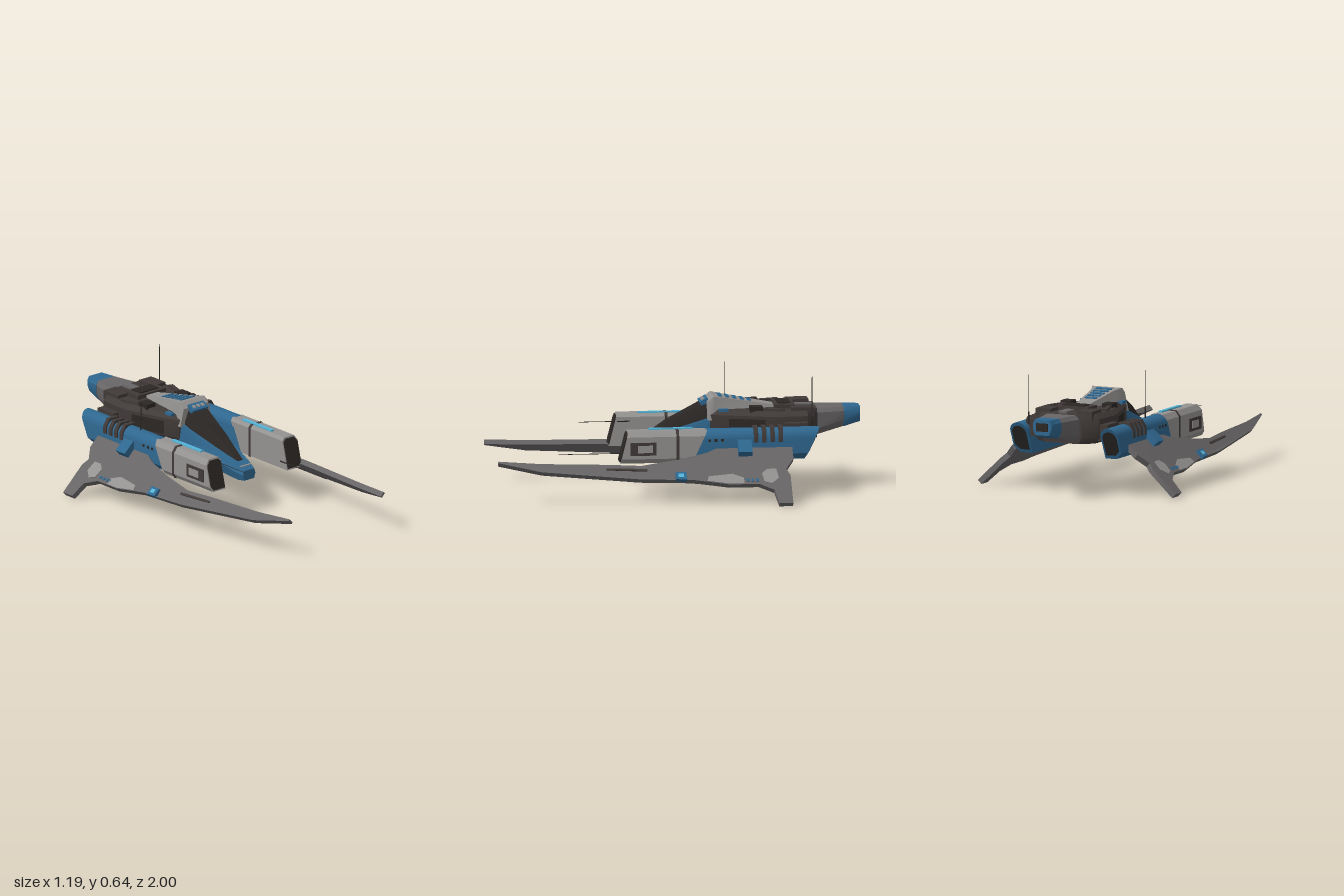
import * as THREE from 'three';
import { toCreasedNormals } from 'three/addons/utils/BufferGeometryUtils.js';

const mat = (name, color) => new THREE.MeshStandardMaterial({ name, color });

export function createModel() {
  const blue = mat('hull blue', 0x2f678f);
  const light = mat('light grey', 0x949290);
  const grey = mat('wing grey', 0x686566);
  const dark = mat('dark plating', 0x403a38);
  const black = mat('canopy black', 0x2b2725);
  const cyan = mat('light strip cyan', 0x55b5d8);

  const model = new THREE.Group();
  model.name = 'spacecraft';

  const add = (name, geo, m) => {
    const mesh = new THREE.Mesh(toCreasedNormals(geo, 0.55), m);
    mesh.name = name;
    model.add(mesh);
    return mesh;
  };

  // Reverses the triangle winding
  const flip = (geo) => {
    const g = geo.index ? geo.toNonIndexed() : geo.clone();
    const p = g.attributes.position, a = new THREE.Vector3(), b = new THREE.Vector3();
    for (let i = 0; i < p.count; i += 3) {
      a.fromBufferAttribute(p, i + 1);
      b.fromBufferAttribute(p, i + 2);
      p.setXYZ(i + 1, b.x, b.y, b.z);
      p.setXYZ(i + 2, a.x, a.y, a.z);
    }
    g.computeVertexNormals();
    return g;
  };

  // Adds a +x part and its mirror image
  const pair = (name, geo, m) => {
    add(name + 'Left', geo, m);
    add(name + 'Right', flip(geo.clone().scale(-1, 1, 1)), m);
  };

  // Skins cross-sections listed from back to front, corners anticlockwise seen from +z
  const loft = (secs) => {
    const pos = [], n = secs[0].length;
    const tri = (a, b, c) => pos.push(...a, ...b, ...c);
    for (let k = 0; k < secs.length - 1; k++) {
      const A = secs[k], B = secs[k + 1];
      for (let i = 0; i < n; i++) {
        const j = (i + 1) % n;
        tri(A[i], A[j], B[i]);
        tri(A[j], B[j], B[i]);
      }
    }
    const F = secs[secs.length - 1], R = secs[0];
    for (let i = 1; i < n - 1; i++) {
      tri(F[0], F[i], F[i + 1]);
      tri(R[0], R[i + 1], R[i]);
    }
    const g = new THREE.BufferGeometry();
    g.setAttribute('position', new THREE.Float32BufferAttribute(pos, 3));
    g.computeVertexNormals();
    return g;
  };

  // Symmetric section from its +x half (bottom to top)
  const sym = (z, half) => [...half, ...half.slice().reverse().map(([x, y]) => [-x, y])].map(([x, y]) => [x, y, z]);
  // Section at z leaning by k, scaled about the pod axis
  const lean = (pts, z, k = 0, s = 1) => pts.map(([x, y]) => {
    const Y = 0.29 + (y - 0.29) * s;
    return [0.272 + (x - 0.272) * s, Y, z + k * (0.375 - Y)];
  });
  const box = (w, h, d, x, y, z, rx = 0, ry = 0, rz = 0) =>
    new THREE.BoxGeometry(w, h, d).rotateX(rx).rotateY(ry).rotateZ(rz).translate(x, y, z);

  // Blue forward hull and nose
  add('forwardHull', loft([
    sym(-0.3, [[0.085, 0.28], [0.1, 0.33], [0.085, 0.42]]),
    sym(-0.17, [[0.08, 0.24], [0.106, 0.31], [0.092, 0.4]]),
    sym(0.1, [[0.052, 0.195], [0.078, 0.26], [0.06, 0.31]]),
    sym(0.23, [[0.042, 0.18], [0.056, 0.225], [0.044, 0.262]]),
    sym(0.275, [[0.035, 0.185], [0.044, 0.215], [0.036, 0.24]]),
  ]), blue);
  add('noseTrim', box(0.075, 0.006, 0.008, 0, 0.256, 0.243, 0.4), light);

  // Canopy
  add('canopy', loft([
    sym(-0.2, [[0.086, 0.36], [0.08, 0.42], [0.055, 0.485]]),
    sym(-0.13, [[0.084, 0.36], [0.076, 0.41], [0.052, 0.468]]),
    sym(0.05, [[0.056, 0.3], [0.05, 0.34], [0.03, 0.378]]),
    sym(0.2, [[0.03, 0.24], [0.026, 0.262], [0.016, 0.278]]),
  ]), black);

  // Dark main body, wedge shaped in plan
  const bodySec = (z, w) => sym(z, [[w * 0.85, 0.285], [w, 0.32], [w, 0.42], [w - 0.025, 0.445]]);
  add('mainBody', loft([bodySec(-0.76, 0.12), bodySec(-0.7, 0.2), bodySec(-0.52, 0.21), bodySec(-0.18, 0.106)]), dark);
  add('engineDeck', box(0.2, 0.05, 0.11, 0, 0.443, -0.585), dark);
  add('deckHatch', box(0.13, 0.012, 0.07, 0, 0.468, -0.585), black);
  add('deckVent', box(0.05, 0.02, 0.1, 0, 0.447, -0.7), grey);
  pair('shoulderBlock', box(0.09, 0.05, 0.12, 0.125, 0.437, -0.675), dark);
  pair('sideBlock', box(0.06, 0.04, 0.07, 0.125, 0.447, -0.425), black);
  pair('deckRail', box(0.025, 0.025, 0.16, 0.15, 0.445, -0.5, 0, -0.3), dark);
  pair('bodyPanel', box(0.008, 0.075, 0.2, 0.165, 0.365, -0.374, 0, -0.3), black);
  pair('bodyMarker', box(0.025, 0.016, 0.05, 0.115, 0.446, -0.25), blue);
  pair('podStrut', box(0.06, 0.09, 0.13, 0.215, 0.345, -0.63), dark);

  // Tail
  const tailSec = (z, w, y) => sym(z, [[w * 0.75, y], [w, y + 0.035], [w, 0.42], [w * 0.8, 0.442]]);
  add('tailBoom', loft([tailSec(-0.91, 0.07, 0.335), tailSec(-0.74, 0.112, 0.292)]), grey);
  add('tailTip', loft([tailSec(-1, 0.056, 0.358), tailSec(-0.91, 0.072, 0.333)]), blue);
  add('tailNozzle', box(0.07, 0.045, 0.006, 0, 0.402, -1), black);

  // Light grey dorsal cover with blue slats
  add('dorsalCover', loft([
    sym(-0.54, [[0.045, 0.42], [0.036, 0.457]]),
    sym(-0.26, [[0.088, 0.41], [0.068, 0.506]]),
    sym(-0.2, [[0.108, 0.39], [0.09, 0.516]]),
    sym(-0.165, [[0.112, 0.39], [0.088, 0.488]]),
  ]), light);
  for (let i = 0; i < 5; i++) {
    const z = -0.4 + i * 0.04;
    add('dorsalSlat' + (i + 1), box(0.07 + i * 0.006, 0.008, 0.02, 0, 0.458 + (z + 0.54) * 0.175, z, -0.174), blue);
  }
  add('cockpitVent', box(0.11, 0.03, 0.05, 0, 0.48, -0.155, 0.5), blue);
  for (const x of [-0.03, 0, 0.03]) add('ventSlot', box(0.018, 0.006, 0.02, x, 0.494, -0.147, 0.5), light);

  // Engine pods: light front, blue rounded rear
  const frontPts = [[0.22, 0.2], [0.308, 0.2], [0.325, 0.225], [0.325, 0.345], [0.303, 0.374], [0.236, 0.374], [0.22, 0.358]];
  const rearPts = [[0.22, 0.202], [0.29, 0.205], [0.324, 0.24]];
  for (let i = 0; i <= 10; i++) {
    const a = i * Math.PI / 10;
    rearPts.push([0.272 + 0.053 * Math.cos(a), 0.325 + 0.053 * Math.sin(a)]);
  }
  pair('podFront', loft([lean(frontPts, -0.14, 0.47), lean(frontPts, 0.29, 0.25)]), light);
  pair('podIntake', loft([lean(frontPts, 0.28, 0.25, 0.9), lean(frontPts, 0.296, 0.25, 0.9)]), black);
  pair('podRear', loft([lean(rearPts, -0.75, 0.47), lean(rearPts, -0.13, 0.47)]), blue);
  pair('podExhaust', loft([lean(rearPts, -0.754, 0.47, 0.78), lean(rearPts, -0.74, 0.47, 0.78)]), black);
  pair('podBand', loft([lean(frontPts, 0.015, 0, 1.04), lean(frontPts, 0.03, 0, 1.04)]), dark);
  pair('podLightStrip', box(0.022, 0.012, 0.24, 0.252, 0.376, 0.055), cyan);
  pair('podSidePlate', box(0.012, 0.07, 0.14, 0.326, 0.28, 0.21), dark);
  pair('podSideInset', box(0.008, 0.04, 0.08, 0.331, 0.28, 0.2), light);
  const ribPts = [[0.235, 0.305], [0.331, 0.305], [0.331, 0.345], [0.306, 0.386], [0.24, 0.386]];
  for (let i = 0; i < 4; i++) {
    const z = -0.55 + i * 0.045;
    pair('podRib' + (i + 1), loft([lean(ribPts, z), lean(ribPts, z + 0.024)]), dark);
  }
  for (let i = 0; i < 3; i++) pair('podRivet' + (i + 1), box(0.006, 0.014, 0.014, 0.324, 0.32, -0.15 - i * 0.035), black);
  pair('wingBracket', box(0.085, 0.045, 0.075, 0.345, 0.278, -0.34, 0, 0, -0.75), blue);

  // Downswept wings: outline in x and z, laid on the sloping wing surface between depths t0 and t1
  const onWing = (pts, t0, t1) => {
    const shape = new THREE.Shape(pts.map(([x, z]) => new THREE.Vector2(x, z)));
    const g = new THREE.ExtrudeGeometry(shape, { depth: t1 - t0, bevelEnabled: false });
    const p = g.attributes.position;
    for (let i = 0; i < p.count; i++) {
      const x = p.getX(i), z = p.getY(i), t = p.getZ(i) + t0;
      const y = 0.28 - 0.95 * (x - 0.32) - 0.044 * Math.max(0, z - 0.2);
      p.setXYZ(i, x + t * 0.69, y + t * 0.725, z);
    }
    return flip(g);
  };
  pair('wing', onWing([
    [0.335, 1], [0.36, 0.77], [0.385, 0.4], [0.4, 0.23], [0.375, 0.03], [0.345, -0.13], [0.32, -0.2],
    [0.315, -0.6], [0.38, -0.6], [0.43, -0.555], [0.46, -0.575], [0.595, -0.575], [0.595, -0.5], [0.53, -0.48],
    [0.5, -0.4], [0.5, -0.24], [0.475, -0.05], [0.465, 0.24], [0.4, 0.77], [0.343, 1],
  ], -0.03, 0), grey);
  pair('wingRearPatch', onWing([[0.43, -0.5], [0.475, -0.51], [0.5, -0.47], [0.49, -0.43], [0.45, -0.42], [0.43, -0.45]], -0.004, 0.004), light);
  pair('wingSidePatch', onWing([[0.45, -0.26], [0.47, -0.32], [0.498, -0.32], [0.498, -0.24], [0.482, -0.12], [0.46, -0.13]], -0.004, 0.004), light);
  pair('wingMarker', onWing([[0.44, -0.01], [0.478, -0.01], [0.475, 0.05], [0.44, 0.05]], -0.01, 0.012), blue);
  pair('wingMarkerInset', onWing([[0.45, 0.005], [0.468, 0.005], [0.466, 0.035], [0.45, 0.035]], 0, 0.016), cyan);
  pair('wingGroove', onWing([[0.402, 0.42], [0.41, 0.42], [0.428, 0.2], [0.418, 0.2]], -0.003, 0.003), dark);
  for (let i = 0; i < 4; i++) {
    const z = -0.4 + i * 0.026;
    pair('wingDot' + (i + 1), onWing([[0.476, z], [0.488, z], [0.488, z + 0.014], [0.476, z + 0.014]], -0.003, 0.004), blue);
  }

  // Antennas and forward probes
  const rod = (name, x, y, z, len, forward) => {
    for (const [part, r, l] of [['Tip', 0.0022, len], ['Base', 0.0045, len * 0.25]]) {
      const g = new THREE.CylinderGeometry(r * 0.7, r, l, 6).translate(0, l / 2, 0);
      if (forward) g.rotateX(Math.PI / 2);
      add(name + part, g.translate(x, y, z), black);
    }
  };
  rod('frontAntenna', -0.277, 0.37, -0.3, 0.27, false);
  rod('rearAntenna', 0.217, 0.37, -0.72, 0.27, false);
  rod('longProbe', 0.218, 0.24, 0.28, 0.38, true);
  rod('shortProbe', -0.222, 0.335, 0.22, 0.28, true);

  return model;
}
